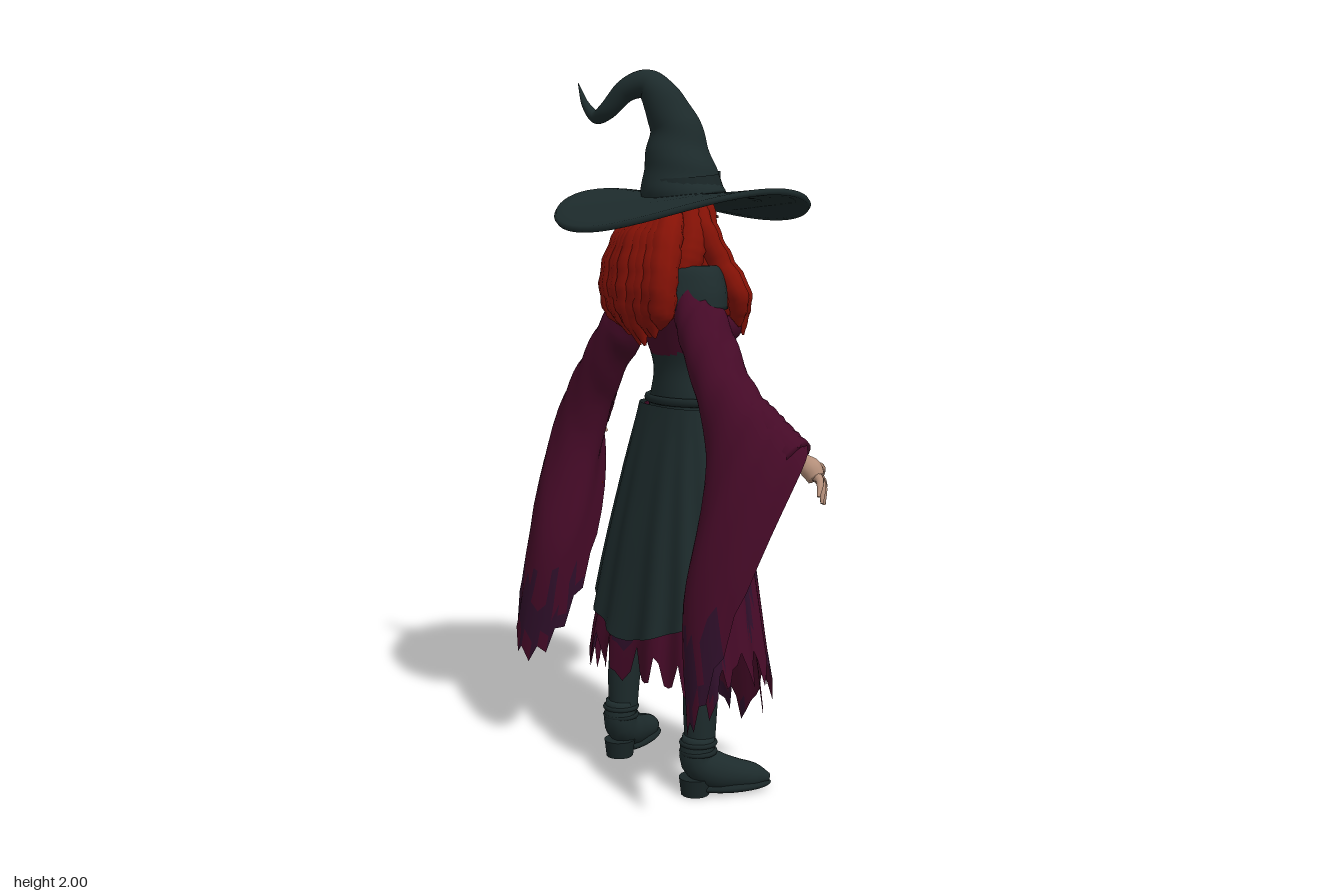
import * as THREE from 'three';

const V = (x, y, z) => new THREE.Vector3(x, y, z);
const mat = (name, color, side = THREE.DoubleSide) => {
  const m = new THREE.MeshStandardMaterial({ color, side });
  m.name = name;
  return m;
};
const interp = (table, x) => {
  if (x <= table[0][0]) return table[0][1];
  for (let i = 1; i < table.length; i++) {
    const [a, p] = table[i - 1], [b, q] = table[i];
    if (x <= b) return p + (q - p) * (x - a) / (b - a);
  }
  return table[table.length - 1][1];
};

// Skin over a list of rings; faces accepted by "tint" take the second material.
function loft(name, material, rings, { closed = true, caps = false, tint, second } = {}) {
  const rows = rings.slice();
  if (caps) {
    const flat = r => {
      const c = r.reduce((s, p) => s.add(p), V(0, 0, 0)).divideScalar(r.length);
      return r.map(() => c);
    };
    rows.unshift(flat(rings[0]));
    rows.push(flat(rings[rings.length - 1]));
  }
  const n = rows[0].length, idx = [[], []];
  for (let i = 0; i < rows.length - 1; i++) {
    for (let j = 0; j < (closed ? n : n - 1); j++) {
      const k = (j + 1) % n, a = i * n + j, b = i * n + k, c = a + n, d = b + n;
      idx[tint && tint(rows[i][j], j) ? 1 : 0].push(a, c, b, b, c, d);
    }
  }
  const g = new THREE.BufferGeometry().setFromPoints(rows.flat());
  g.setIndex(idx[0].concat(idx[1]));
  g.computeVertexNormals();
  if (tint) {
    g.addGroup(0, idx[0].length, 0);
    g.addGroup(idx[0].length, idx[1].length, 1);
  }
  const mesh = new THREE.Mesh(g, tint ? [material, second] : material);
  mesh.name = name;
  return mesh;
}

// Round tube of varying radius through [x, y, z, r] points; "crease" wrinkles it.
function sweep(name, material, pts, n = 12, steps = 20, crease = 0) {
  const curve = new THREE.CatmullRomCurve3(pts.map(p => V(p[0], p[1], p[2])));
  const radii = new THREE.CatmullRomCurve3(pts.map((p, i) => V(p[3], i, 0)));
  let N = V(0.9, 0.1, 0.43);
  const rings = [];
  for (let i = 0; i <= steps; i++) {
    const t = i / steps, c = curve.getPoint(t), T = curve.getTangent(t);
    N = N.clone().addScaledVector(T, -N.dot(T)).normalize();
    const B = N.clone().cross(T), base = Math.max(radii.getPoint(t).x, 0.001);
    rings.push(Array.from({ length: n }, (_, j) => {
      const a = j / n * Math.PI * 2, r = base * (1 + crease * Math.sin(t * 45 + 2 * Math.sin(a)));
      return c.clone().addScaledVector(N, r * Math.cos(a)).addScaledVector(B, r * Math.sin(a));
    }));
  }
  return loft(name, material, rings, { caps: true });
}

// Pass each column of rings through a smooth curve.
function smooth(rings, m) {
  const cols = rings[0].map((_, j) => new THREE.CatmullRomCurve3(rings.map(r => r[j])));
  return Array.from({ length: m + 1 }, (_, i) => cols.map(c => c.getPoint(i / m)));
}

// Body section stack from [y, halfWidth, frontZ, backZ], bottom to top.
function body(name, material, profile, n = 32) {
  const rings = profile.map(([y, w, f, b]) => Array.from({ length: n }, (_, j) => {
    const a = j / n * Math.PI * 2;
    return V(w * Math.cos(a), y, (f + b) / 2 + (f - b) / 2 * Math.sin(a));
  }));
  return loft(name, material, smooth(rings, profile.length * 4), { caps: true });
}

// Point on the skirt; deg is measured from the front.
const SKIRT_W = [[0.1, 0.33], [0.3, 0.32], [0.6, 0.258], [0.8, 0.208], [0.95, 0.17], [1.07, 0.138]];
const SKIRT_F = [[0.1, 0.2], [0.4, 0.165], [0.7, 0.15], [1.07, 0.138]];
const SKIRT_B = [[0.1, 0.22], [0.4, 0.2], [0.7, 0.15], [0.9, 0.11], [1.07, 0.07]];
function skirtPoint(deg, y, off) {
  const a = deg * Math.PI / 180, s = Math.sin(a), c = Math.cos(a);
  const k = off + 0.014 * Math.sin(a * 15) * (1.07 - y);
  const depth = interp(c > 0 ? SKIRT_F : SKIRT_B, y) + k;
  return V(Math.sign(s) * Math.abs(s) ** 0.8 * (interp(SKIRT_W, y) + k), y,
    Math.sign(c) * Math.abs(c) ** 0.85 * depth);
}

export function createModel() {
  const root = new THREE.Group(), fig = new THREE.Group();
  root.name = 'witch';
  fig.name = 'figure';
  fig.rotation.y = Math.PI / 2;
  root.add(fig);
  const teal = mat('dark teal cloth', 0x1d2b2c), trim = mat('black teal trim', 0x192526);
  const wine = mat('burgundy cloth', 0x450a27), plum = mat('plum stain', 0x2f0f2a);
  const red = mat('red lining', 0x7c1408), hair = mat('red hair', 0x861206, THREE.FrontSide);
  const skin = mat('skin', 0xb48f7a, THREE.FrontSide), dark = mat('face dark', 0x4a2620);
  const put = (name, geo, m, p, parent = fig, scale = [1, 1, 1]) => {
    const mesh = new THREE.Mesh(geo, m);
    mesh.name = name;
    mesh.position.set(...p);
    mesh.scale.set(...scale);
    parent.add(mesh);
    return mesh;
  };
  const ball = new THREE.SphereGeometry(1, 24, 16);

  // Hat: saddle-shaped brim, bent crown with a curled tip
  const brimRow = (t, d) => Array.from({ length: 64 }, (_, j) => {
    const a = j / 64 * Math.PI * 2, x = 0.387 * t * Math.cos(a), z = 0.337 * t * Math.sin(a), q = z / 0.335;
    return V(x, 1.655 - 0.075 * q * q + 0.012 * q + 0.014 * (x / 0.385) ** 2 + d, z);
  });
  const ts = [0.15, 0.35, 0.55, 0.75, 0.9, 0.985];
  fig.add(loft('hatBrim', teal, [...ts.map(t => brimRow(t, -0.009)), brimRow(1, 0),
    ...ts.slice().reverse().map(t => brimRow(t, 0.008))]));
  fig.add(sweep('hatCrown', teal, [[0.005, 1.645, 0.012, 0.118], [0.012, 1.7, 0.005, 0.108],
    [0.016, 1.77, 0, 0.09], [0.02, 1.85, -0.01, 0.07], [0.035, 1.915, -0.04, 0.055], [0.065, 1.958, -0.06, 0.042],
    [0.12, 1.945, -0.1, 0.032], [0.17, 1.89, -0.13, 0.025], [0.215, 1.875, -0.14, 0.018],
    [0.25, 1.91, -0.15, 0.011], [0.28, 1.97, -0.155, 0.001]], 24, 80, 0.03));
  const band = put('hatBand', new THREE.CylinderGeometry(0.105, 0.116, 0.04, 32, 1, true), trim, [0.008, 1.69, 0.008]);
  band.rotation.x = -0.08;
  put('hatBuckle', new THREE.BoxGeometry(0.06, 0.05, 0.008), teal, [0.008, 1.7, 0.117]);

  // Head and face
  put('head', ball, skin, [0, 1.58, 0.03], fig, [0.062, 0.085, 0.08]);
  put('jaw', ball, skin, [0, 1.54, 0.06], fig, [0.043, 0.046, 0.05]);
  put('nose', new THREE.ConeGeometry(0.014, 0.05, 8), skin, [0, 1.588, 0.113]).rotation.x = 0.35;
  put('mouth', new THREE.BoxGeometry(0.028, 0.005, 0.008), dark, [0, 1.545, 0.107]);
  fig.add(sweep('neck', skin, [[0, 1.42, 0.005, 0.045], [0, 1.48, 0.015, 0.036], [0, 1.56, 0.03, 0.036]]));
  for (let i = -4; i <= 4; i++) {
    const a = i * 0.3;
    put('necklaceBead', ball, skin, [0.052 * Math.sin(a), 1.452 - 0.008 * Math.cos(a), 0.01 + 0.055 * Math.cos(a)],
      fig, [0.006, 0.008, 0.006]);
  }

  // Hair: scalp, back locks, side locks and front strands
  put('hairScalp', ball, hair, [0, 1.572, -0.03], fig, [0.09, 0.078, 0.1]);
  for (let i = -4; i <= 4; i++) {
    const w = 0.02 * Math.abs(i) / 4, d = 0.012 * (i % 2);
    fig.add(sweep('hairBackLock', hair, [[i * 0.015, 1.605, -0.07, 0.03], [i * 0.023, 1.54, -0.135 + w, 0.043],
      [i * 0.029 + d, 1.43, -0.168 + w, 0.042], [i * 0.027 - d, 1.34, -0.165 + w, 0.036],
      [i * 0.024, 1.25 + 0.012 * Math.abs(i) + d, -0.14, 0.004]], 10, 24, 0.06));
  }

  for (const s of [-1, 1]) {
    put('eye', new THREE.BoxGeometry(0.022, 0.008, 0.006), dark, [s * 0.026, 1.598, 0.103]).rotation.y = s * 0.35;
    fig.add(sweep('hairSideLock', hair, [[s * 0.065, 1.625, -0.02, 0.03], [s * 0.085, 1.55, -0.03, 0.042],
      [s * 0.09, 1.48, -0.05, 0.045], [s * 0.085, 1.42, -0.08, 0.03]], 10, 16, 0.06));
    [[0, 0], [0.022, -0.03], [-0.012, -0.055]].forEach(([dx, dz], i) => {
      fig.add(sweep('hairFrontStrand', hair, [[s * 0.07, 1.635, 0.03 + dz, 0.025],
        [s * (0.082 + dx), 1.56, 0.035 + dz, 0.03], [s * (0.094 + dx), 1.47, 0.075 + dz, 0.034],
        [s * (0.122 + dx), 1.39, 0.115 + dz, 0.031], [s * (0.102 + dx), 1.33, 0.135 + dz, 0.024],
        [s * (0.104 + dx), 1.27 + 0.025 * i, 0.14 + dz, 0.003]], 10, 26, 0.07));
    });

    // Bust
    put('bust', ball, wine, [s * 0.058, 1.298, 0.098], fig, [0.06, 0.055, 0.062]);

    // Trumpet sleeve: top, bottom and side vectors of each ring, then its inward bow
    const rings = [[0.16, 1.415, -0.045, 0.11, 1.3, -0.055, 0, 0.068, 0], [0.235, 1.33, -0.055, 0.145, 1.25, -0.065, 0, 0.075, 0],
      [0.33, 1.21, -0.065, 0.235, 1.12, -0.085, 0, 0.073, 0], [0.42, 1.115, -0.04, 0.305, 0.95, -0.13, -0.03, 0.068, 0],
      [0.47, 1.06, -0.02, 0.335, 0.6, -0.24, -0.07, 0.055, 0.01], [0.52, 1.02, 0.02, 0.4, 0.29, -0.275, -0.1, 0.05, 0.04]]
      .map(([tx, ty, tz, bx, by, bz, wx, wz, bow], i) => Array.from({ length: 32 }, (_, j) => {
        const a = j / 32 * Math.PI * 2, c = Math.cos(a), e = Math.sin(a), f = Math.sign(e) * Math.abs(e) ** 0.85;
        const rag = i === 5 && c < -0.1 ? (j % 2 ? 0.02 : -0.02) : 0;
        return V(s * ((tx + bx) / 2 + (tx - bx) / 2 * c + wx * f - bow * e * e),
          (ty + by) / 2 + (ty - by) / 2 * c + rag, (tz + bz) / 2 + (tz - bz) / 2 * c + wz * f);
      }));
    const sleeve = smooth(rings, 30);
    sleeve.forEach((ring, i) => ring.forEach((p, j) => { p.y += 0.006 * Math.sin(i * 1.3 + j * 0.5); }));
    fig.add(loft('sleeve', wine, sleeve, { second: plum,
      tint: (p, j) => p.y < 0.52 + 0.09 * Math.sin(j * 1.9) && p.y > 0.36 }));
    fig.add(sweep('sleeveCuff', wine, [[s * 0.33, 1.11, -0.06, 0.062], [s * 0.385, 1.065, -0.045, 0.068],
      [s * 0.44, 1.015, -0.02, 0.066], [s * 0.492, 0.975, 0, 0.064]], 16, 18, 0.03));
    put('sleeveLining', new THREE.BoxGeometry(0.006, 0.1, 0.07), red, [s * 0.347, 0.77, -0.09]).rotation.x = 0.4;

    // Hand with spread fingers
    fig.add(sweep('palm', skin, [[s * 0.47, 0.995, -0.005, 0.025], [s * 0.515, 0.975, 0.015, 0.025],
      [s * 0.535, 0.962, 0.022, 0.03], [s * 0.552, 0.94, 0.025, 0.024]]));
    [[0.54, 0.88, 0.065], [0.57, 0.872, 0.037], [0.59, 0.882, 0.012], [0.604, 0.905, -0.012], [0.505, 0.925, 0.085]]
      .forEach(([x, y, z], i) => {
        const k = i === 4 ? 0.97 : 0.95;
        fig.add(sweep(i === 4 ? 'thumb' : 'finger', skin, [[s * 0.54, k, 0.025, 0.014],
          [s * (0.54 + x + 0.012) / 2, (k + y) / 2 + 0.012, (0.025 + z) / 2 + 0.008, 0.011],
          [s * x, y, z, 0.004]], 8, 8));
      });

    // Leg and boot
    fig.add(sweep('leg', teal, [[s * 0.08, 0.95, 0, 0.08], [s * 0.13, 0.65, -0.02, 0.068],
      [s * 0.172, 0.42, -0.05, 0.052], [s * 0.186, 0.28, -0.07, 0.05], [s * 0.19, 0.13, -0.075, 0.042]], 16));
    const boot = new THREE.Group();
    boot.name = 'boot';
    boot.position.set(s * 0.19, 0, -0.085);
    boot.rotation.y = s * 0.42;
    fig.add(boot);
    boot.add(sweep('bootUpper', teal, [[0, 0.17, 0.005, 0.046], [0, 0.1, 0.002, 0.05], [0, 0.068, 0.045, 0.053],
      [0, 0.05, 0.11, 0.043], [0, 0.04, 0.165, 0.034], [0, 0.03, 0.208, 0.012]], 16));
    put('sole', ball, trim, [0, 0.018, 0.1], boot, [0.047, 0.018, 0.115]);
    put('heel', new THREE.CylinderGeometry(0.046, 0.04, 0.05, 16), trim, [0, 0.025, -0.005], boot);
    for (const y of [0.125, 0.15]) {
      put('bootStrap', new THREE.TorusGeometry(0.047, 0.007, 8, 24), trim, [0, y, 0.004], boot).rotation.x = Math.PI / 2;
    }
  }

  // Torso
  fig.add(body('bodice', wine, [[1.21, 0.108, 0.13, -0.075], [1.28, 0.128, 0.14, -0.1], [1.34, 0.14, 0.125, -0.12],
    [1.4, 0.14, 0.085, -0.12], [1.45, 0.07, 0.05, -0.07]]));
  fig.add(body('corset', teal, [[1.04, 0.148, 0.148, -0.075], [1.1, 0.132, 0.147, -0.072], [1.18, 0.109, 0.143, -0.07],
    [1.255, 0.127, 0.156, -0.088]]));
  fig.add(body('shoulderCape', teal, [[1.352, 0.205, 0.085, -0.15], [1.41, 0.193, 0.085, -0.135],
    [1.468, 0.155, 0.07, -0.108], [1.445, 0.06, 0.05, -0.06]]));
  for (const s of [-1, 1]) {
    const lapel = put('lapel', new THREE.BoxGeometry(0.035, 0.12, 0.012), trim, [s * 0.035, 1.405, 0.085]);
    lapel.rotation.set(-0.5, 0, -s * 0.5);
    put('corsetSeam', new THREE.BoxGeometry(0.007, 0.14, 0.009), trim, [s * 0.03, 1.175, 0.144]);
  }
  [[1.05, 0], [1.09, 0.006]].forEach(([y, d]) => {
    const belt = put('belt', new THREE.TorusGeometry(1, 0.08, 8, 48), trim, [0, y, 0.035], fig,
      [0.146 - d, 0.113, 0.15]);
    belt.rotation.x = Math.PI / 2;
  });

  // Skirt with a torn hem
  const HEM = [[0, 0.16], [18, 0.2], [38, 0.3], [60, 0.36], [85, 0.39], [105, 0.37], [118, 0.29], [132, 0.33], [155, 0.36], [180, 0.34]];
  const rows = Array.from({ length: 19 }, (_, i) => Array.from({ length: 120 }, (_, j) => {
    const deg = 360 - j * 3, phi = Math.min(deg, 360 - deg);
    const hem = interp(HEM, phi) + 0.1 * Math.abs(((j * 0.19) % 1) * 2 - 1) - 0.055 + 0.02 * Math.sin(j * 2.3);
    return skirtPoint(deg, hem + (1.07 - hem) * i / 18, 0);
  }));
  fig.add(loft('skirt', wine, rows, { second: plum,
    tint: (p, j) => p.y < 0.8 && Math.sin(j * 0.55) + Math.sin(p.y * 17 + j * 0.21) > 1.25 }));

  // Open overskirt, swept back from the hips
  const OVER = [[28, 0.97], [45, 0.83], [60, 0.71], [85, 0.6], [100, 0.57], [130, 0.5], [180, 0.42]];
  fig.add(loft('overskirt', teal, Array.from({ length: 13 }, (_, i) => Array.from({ length: 90 }, (_, j) => {
    const deg = 332 - 304 * j / 89, low = interp(OVER, Math.min(deg, 360 - deg));
    return skirtPoint(deg, low + (1.075 - low) * i / 12, 0.014);
  })), { closed: false }));

  // Hanging front panel
  const panel = [[0.58, 0.004], [0.63, 0.05], [0.75, 0.05], [0.9, 0.044], [1.0, 0.038], [1.08, 0.036]];
  fig.add(loft('frontPanel', teal, panel.map(([y, w]) => {
    const z = interp(SKIRT_F, y) + 0.014;
    return [V(w, y, z - 0.008), V(w, y, z), V(0, y, z + 0.004), V(-w, y, z), V(-w, y, z - 0.008)];
  }), { caps: true }));
  put('beltKnot', new THREE.BoxGeometry(0.05, 0.05, 0.02), trim, [0, 1.075, 0.152]);
  return root;
}
